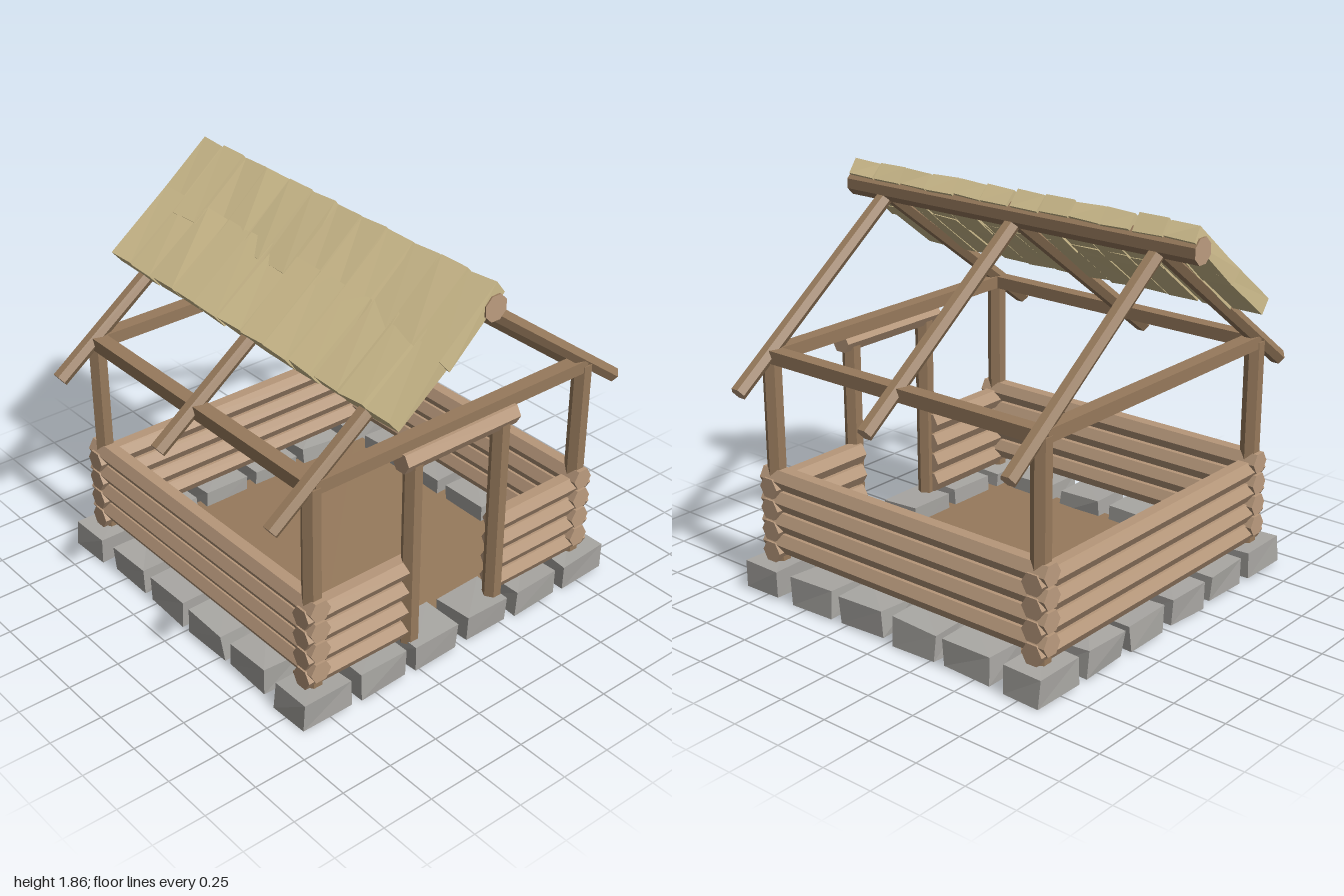
import * as THREE from 'three';

const mat = (name, color) => {
  const m = new THREE.MeshStandardMaterial({ color, flatShading: true });
  m.name = name;
  return m;
};

export function createModel() {
  const model = new THREE.Group();
  model.name = 'logCabinFrame';

  const wood = mat('brown wood', 0x977a5c);
  const bark = mat('light log', 0xb6977a);
  const cut = mat('cut wood end', 0xbc9c7f);
  const stone = mat('grey stone', 0xa9a7a3);
  const straw = mat('straw shingle', 0xd0be8e);

  // small seeded generator for hand-made irregularity
  let seed = 7;
  const rand = (amp) => {
    seed = (seed * 16807) % 2147483647;
    return (seed / 2147483647 * 2 - 1) * amp;
  };

  const group = (name) => {
    const g = new THREE.Group();
    g.name = name;
    model.add(g);
    return g;
  };
  const add = (parent, name, geo, material, x, y, z) => {
    const m = new THREE.Mesh(geo, material);
    m.name = name;
    m.position.set(x, y, z);
    parent.add(m);
    return m;
  };

  // round timber along one axis, flats up (or to the front when upright)
  const timber = (r, len, axis, sides = 6) => {
    const g = new THREE.CylinderGeometry(r, r, len, sides);
    if (axis !== 'x') g.rotateY(Math.PI / sides);
    if (axis === 'x') g.rotateZ(Math.PI / 2);
    if (axis === 'z') g.rotateX(Math.PI / 2);
    return g;
  };

  // box whose eight corners are nudged a little
  const roughBox = (w, h, d, amp) => {
    const g = new THREE.BoxGeometry(w, h, d);
    const p = g.attributes.position;
    const nudge = Array.from({ length: 8 }, () => [rand(amp), rand(amp), rand(amp)]);
    for (let i = 0; i < p.count; i++) {
      const x = p.getX(i), y = p.getY(i), z = p.getZ(i);
      const n = nudge[(x > 0 ? 1 : 0) + (y > 0 ? 2 : 0) + (z > 0 ? 4 : 0)];
      p.setXYZ(i, x + n[0], y + n[1], z + n[2]);
    }
    g.computeVertexNormals();
    return g;
  };

  // floor
  add(model, 'floor', new THREE.BoxGeometry(1.46, 0.06, 1.46), wood, 0, 0.032, 0);

  // foundation stones
  const stones = group('foundationStones');
  for (const s of [-1, 1]) {
    for (const x of [-0.77, -0.46, -0.155, 0.155, 0.46, 0.77]) {
      add(stones, 'stone', roughBox(0.25, 0.13, 0.2, 0.008), stone, x, 0.072, s * 0.77);
    }
    for (const z of [-0.46, -0.155, 0.155, 0.46]) {
      add(stones, 'stone', roughBox(0.2, 0.13, 0.25, 0.008), stone, s * 0.78, 0.072, z);
    }
  }

  // log walls, alternating in height at the corners
  const walls = group('logWalls');
  const logMats = [bark, cut, cut];
  for (let i = 0; i < 4; i++) {
    const y = 0.19 + i * 0.105;
    for (const s of [-1, 1]) {
      add(walls, 'sideLog', timber(0.054, 1.66, 'z'), logMats, s * 0.77, y + 0.04, 0);
      add(walls, 'frontLog', timber(0.054, 0.58, 'x'), logMats, s * 0.54, y, 0.77);
    }
    add(walls, 'backLog', timber(0.054, 1.66, 'x'), logMats, 0, y, -0.77);
  }

  // corner posts and tie beams
  const frame = group('frame');
  for (const sx of [-1, 1]) {
    for (const sz of [-1, 1]) {
      add(frame, 'cornerPost', timber(0.045, 1.0, 'y'), wood, sx * 0.77, 0.63, sz * 0.77);
    }
    add(frame, 'sideBeam', new THREE.BoxGeometry(0.07, 0.06, 1.54), wood, sx * 0.77, 1.13, 0);
    add(frame, 'endBeam', new THREE.BoxGeometry(1.54, 0.06, 0.07), wood, 0, 1.13, sx * 0.77);
  }

  // door frame
  const door = group('doorFrame');
  for (const s of [-1, 1]) {
    add(door, 'doorPost', timber(0.044, 0.92, 'y'), wood, s * 0.25, 0.58, 0.795);
  }
  add(door, 'lintel', timber(0.052, 0.64, 'x'), logMats, 0, 1.065, 0.795);

  // ridge pole and rafters
  const roof = group('roofFrame');
  add(roof, 'ridgePole', timber(0.061, 1.96, 'z', 8), [wood, cut, cut], 0, 1.745, 0);
  const run = 0.975, rise = 0.722;
  for (const z of [-0.77, 0, 0.77]) {
    for (const s of [-1, 1]) {
      const r = add(roof, 'rafter', timber(0.038, Math.hypot(run, rise), 'x'), [wood, cut, cut],
        s * run / 2, 1.0 + rise / 2, z);
      r.rotation.z = -s * Math.atan2(rise, run);
    }
  }

  // two courses of shingles on one slope
  const shingles = group('shingles');
  const courses = [
    { x: -0.352, y: 1.511, len: 0.4, angle: 0.66 },
    { x: -0.118, y: 1.7, len: 0.38, angle: 0.7 },
  ];
  for (const c of courses) {
    for (let i = 0; i < 12; i++) {
      const m = add(shingles, 'shingle', roughBox(c.len, 0.08, 0.15, 0.005), straw,
        c.x, c.y, (i - 5.5) * 0.163 + rand(0.004));
      m.rotation.set(0, rand(0.02), c.angle);
    }
  }

  return model;
}
